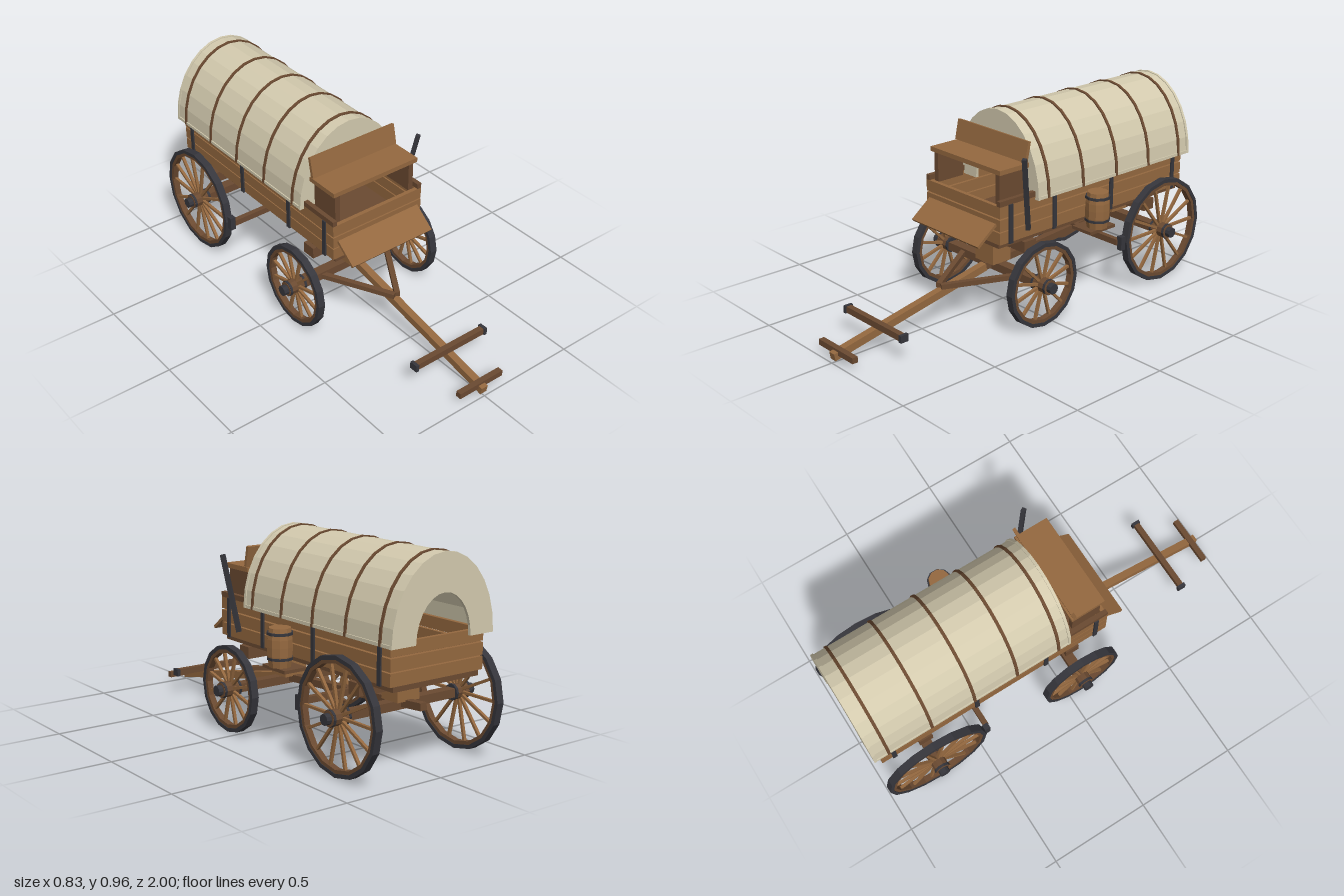
import * as THREE from 'three';

const mat = (name, color) => {
  const m = new THREE.MeshStandardMaterial({ color, flatShading: true });
  m.name = name;
  return m;
};

export function createModel() {
  const wood = mat('plank wood', 0x94683f);
  const dark = mat('dark wood', 0x6b4a31);
  const metal = mat('iron', 0x36363c);
  const canvas = mat('canvas', 0xd3caae);
  const root = new THREE.Group();
  root.name = 'coveredWagon';

  const add = (name, geo, m, x = 0, y = 0, z = 0, parent = root) => {
    const mesh = new THREE.Mesh(geo, m);
    mesh.name = name;
    mesh.position.set(x, y, z);
    parent.add(mesh);
    return mesh;
  };
  // Box given by its extents on each axis
  const box = (name, m, x0, x1, y0, y1, z0, z1) =>
    add(name, new THREE.BoxGeometry(x1 - x0, y1 - y0, z1 - z0), m,
      (x0 + x1) / 2, (y0 + y1) / 2, (z0 + z1) / 2);
  // Square bar running between two points
  const beam = (name, m, a, b, w, h) => {
    const p = new THREE.Vector3(...a), q = new THREE.Vector3(...b);
    const mesh = add(name, new THREE.BoxGeometry(w, h, p.distanceTo(q)), m);
    mesh.position.copy(p).add(q).multiplyScalar(0.5);
    mesh.lookAt(q);
    return mesh;
  };
  // Half-elliptical band, extruded along z
  const arch = (rx, ry, ix, iy, depth, n = 14) => {
    const pts = [];
    for (let i = 0; i <= n; i++) {
      const t = Math.PI * i / n;
      pts.push(new THREE.Vector2(rx * Math.cos(t), ry * Math.sin(t)));
    }
    for (let i = n; i >= 0; i--) {
      const t = Math.PI * i / n;
      pts.push(new THREE.Vector2(ix * Math.cos(t), iy * Math.sin(t)));
    }
    return new THREE.ExtrudeGeometry(new THREE.Shape(pts), { depth, bevelEnabled: false });
  };
  // Ring of rectangular section around the x axis
  const ring = (r0, r1, w, sides) => new THREE.LatheGeometry(
    [[r0, -w], [r1, -w], [r1, w], [r0, w], [r0, -w]].map(p => new THREE.Vector2(p[0], p[1] / 2)),
    sides).rotateZ(Math.PI / 2);
  const drum = (r, w) => new THREE.CylinderGeometry(r, r, w, 10).rotateZ(Math.PI / 2);

  // Wheels
  const wheel = (name, side, r, z, spokes) => {
    const g = new THREE.Group();
    g.name = name;
    g.position.set(side * 0.338, r, z);
    root.add(g);
    add('tire', ring(r - 0.018, r, 0.036, 16), metal, 0, 0, 0, g);
    add('felloe', ring(r - 0.034, r - 0.018, 0.03, 16), dark, 0, 0, 0, g);
    for (let i = 0; i < spokes; i++) {
      const spoke = new THREE.BoxGeometry(0.014, r - 0.05, 0.012);
      spoke.translate(0, (r - 0.02) / 2, 0).rotateX(2 * Math.PI * (i + 0.5) / spokes);
      add('spoke', spoke, wood, 0, 0, 0, g);
    }
    add('hub', drum(0.036, 0.09), dark, side * 0.007, 0, 0, g);
    add('hubBand', drum(0.038, 0.012), metal, -side * 0.036, 0, 0, g);
    add('hubBand', drum(0.038, 0.012), metal, side * 0.044, 0, 0, g);
    add('hubCap', drum(0.025, 0.03), metal, side * 0.062, 0, 0, g);
  };
  for (const s of [-1, 1]) {
    wheel('frontWheel', s, 0.205, 0.065, 12);
    wheel('rearWheel', s, 0.262, -0.738, 14);
  }

  // Running gear: axles, bolsters and reach pole
  box('frontAxle', dark, -0.34, 0.34, 0.185, 0.225, 0.04, 0.09);
  box('rearAxle', dark, -0.34, 0.34, 0.243, 0.283, -0.763, -0.713);
  box('frontBlock', wood, -0.062, 0.062, 0.225, 0.345, 0.01, 0.12);
  box('rearBlock', wood, -0.062, 0.062, 0.283, 0.345, -0.79, -0.685);
  box('frontBolster', dark, -0.257, 0.257, 0.34, 0.395, 0.03, 0.1);
  box('rearBolster', dark, -0.257, 0.257, 0.34, 0.395, -0.773, -0.703);
  beam('reachPole', dark, [0, 0.205, 0.12], [0, 0.28, -0.885], 0.036, 0.034);

  // Tongue, its side braces and the draw bars
  beam('tongue', wood, [0, 0.203, 0.12], [0, 0.03, 0.995], 0.036, 0.036);
  for (const s of [-1, 1]) {
    beam('tongueBrace', dark, [s * 0.2, 0.205, 0.07], [s * 0.008, 0.182, 0.39], 0.026, 0.024);
    box('drawBarCap', metal, s * 0.203 - 0.008, s * 0.203 + 0.008, 0.098, 0.133, 0.74, 0.782);
  }
  box('drawBar', dark, -0.2, 0.2, 0.1, 0.131, 0.748, 0.776);
  box('neckYoke', dark, -0.125, 0.125, 0.035, 0.063, 0.95, 0.978);

  // Wagon box of spaced planks
  box('floor', dark, -0.236, 0.236, 0.395, 0.42, -0.96, 0.24);
  for (const [y0, y1] of [[0.42, 0.477], [0.483, 0.538], [0.545, 0.6]]) {
    for (const s of [-1, 1])
      box('sidePlank', wood, s * 0.246 - 0.01, s * 0.246 + 0.01, y0, y1, -0.965, 0.25);
    box('frontPlank', wood, -0.236, 0.236, y0, y1, 0.23, 0.25);
    box('tailPlank', wood, -0.236, 0.236, y0, y1, -0.965, -0.945);
  }
  for (const s of [-1, 1]) {
    box('frontRail', dark, s * 0.246 - 0.011, s * 0.246 + 0.011, 0.6, 0.625, 0.035, 0.25);
    for (const z of [0.187, -0.085, -0.46, -0.9])
      box('ironStrap', metal, s * 0.259 - 0.004, s * 0.259 + 0.004, 0.415, 0.602, z - 0.011, z + 0.011);
  }

  // Driver's seat and footboard
  for (const s of [-1, 1])
    box('seatSide', dark, s * 0.212 - 0.013, s * 0.212 + 0.013, 0.595, 0.74, 0.075, 0.225);
  box('seat', wood, -0.24, 0.24, 0.74, 0.762, 0.06, 0.235);
  beam('seatBack', wood, [0, 0.764, 0.078], [0, 0.86, 0.058], 0.48, 0.016);
  beam('footboard', wood, [0, 0.513, 0.25], [0, 0.43, 0.357], 0.464, 0.014);

  // Canvas cover with gathered ends and bows
  const baseY = 0.585;
  add('cover', arch(0.275, 0.365, 0.267, 0.357, 1.015), canvas, 0, baseY, -0.985);
  for (const z of [-0.997, 0.022])
    add('coverEnd', arch(0.28, 0.369, 0.15, 0.2, 0.014), canvas, 0, baseY, z);
  for (const s of [-1, 1])
    box('coverHem', canvas, s * 0.274 - 0.005, s * 0.274 + 0.005, baseY, 0.6, -0.985, 0.025);
  for (const z of [-0.03, -0.252, -0.476, -0.7, -0.922])
    add('bow', arch(0.281, 0.371, 0.27, 0.36, 0.014), dark, 0, baseY, z - 0.007);

  // Brake lever, beam and shoes
  beam('brakeLever', metal, [0.269, 0.46, 0.09], [0.311, 0.817, 0.156], 0.02, 0.02);
  box('brakeBeam', dark, -0.32, 0.32, 0.247, 0.277, -0.47, -0.445);
  for (const s of [-1, 1])
    box('brakeShoe', metal, s * 0.332 - 0.014, s * 0.332 + 0.014, 0.226, 0.294, -0.478, -0.45);

  // Water barrel on its side shelf
  box('barrelShelf', dark, 0.236, 0.357, 0.37, 0.385, -0.388, -0.225);
  const bx = 0.321, bz = -0.305;
  const profile = [[0, 0], [0.05, 0], [0.058, 0.05], [0.059, 0.09], [0.058, 0.125], [0.05, 0.175], [0, 0.175]];
  add('barrel', new THREE.LatheGeometry(profile.map(p => new THREE.Vector2(...p)), 10), wood, bx, 0.385, bz);
  for (const y of [0.424, 0.535])
    add('barrelHoop', new THREE.CylinderGeometry(0.06, 0.06, 0.012, 10), metal, bx, y, bz);

  return root;
}
